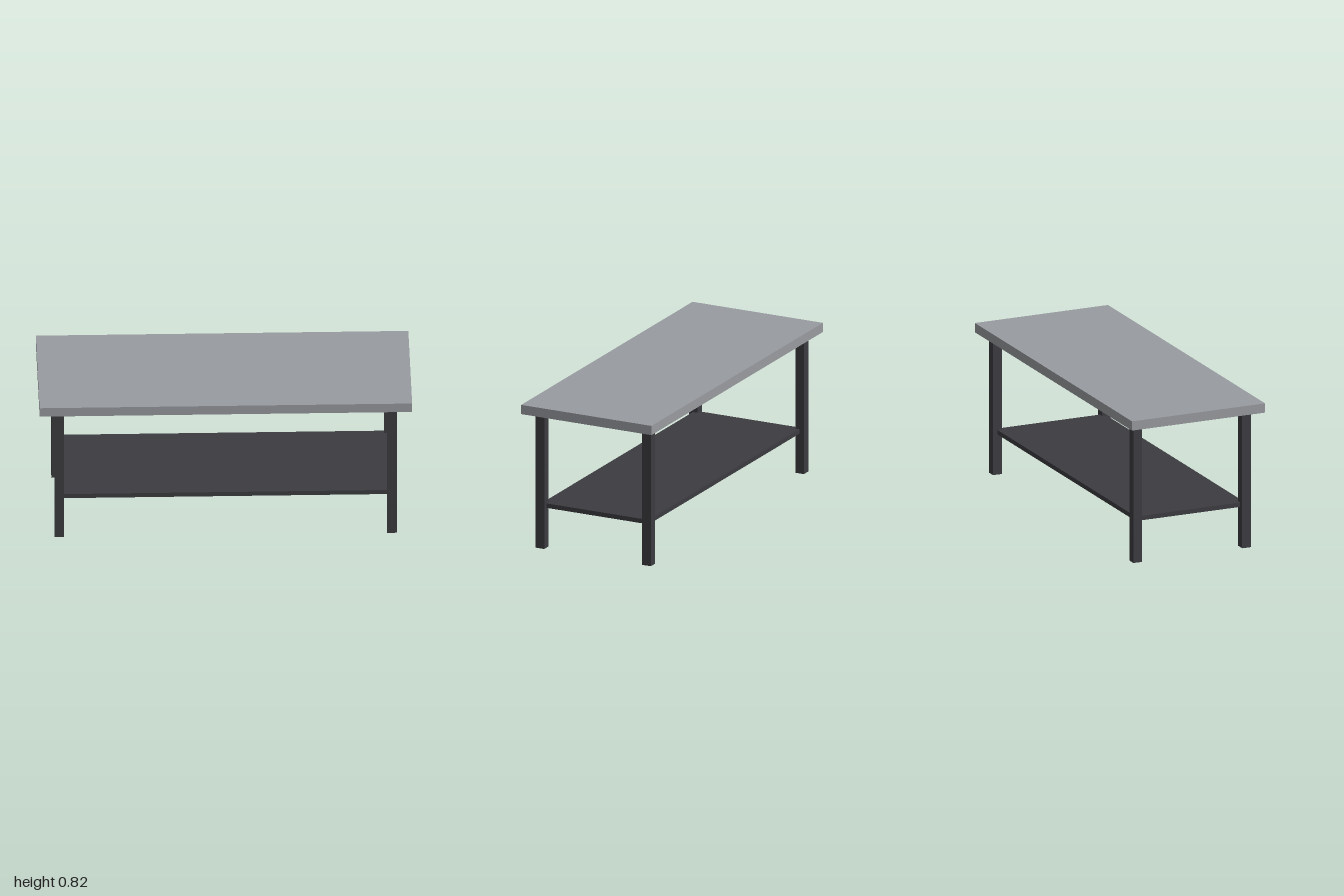
import * as THREE from 'three';

export function createModel() {
  const table = new THREE.Group();
  table.name = 'workTable';

  const greyTop = new THREE.MeshStandardMaterial({ name: 'greyTop', color: 0x989ba0 });
  const darkFrame = new THREE.MeshStandardMaterial({ name: 'darkFrame', color: 0x3c3b40 });

  // Box placed by the height of its underside
  function addBox(name, material, [w, h, d], [x, bottom, z]) {
    const mesh = new THREE.Mesh(new THREE.BoxGeometry(w, h, d), material);
    mesh.name = name;
    mesh.position.set(x, bottom + h / 2, z);
    table.add(mesh);
  }

  const legX = 0.893, legZ = 0.322, legSize = 0.052, legHeight = 0.771;

  // Slab top
  addBox('tableTop', greyTop, [2, 0.052, 0.788], [0, legHeight, 0]);

  // Lower shelf, let into the middle of each leg
  addBox('lowerShelf', darkFrame, [legX * 2, 0.025, legZ * 2], [0, 0.225, 0]);

  // Four square legs
  for (const [sideName, sx] of [['Left', 1], ['Right', -1]]) {
    for (const [endName, sz] of [['front', 1], ['back', -1]]) {
      addBox(`${endName}${sideName}Leg`, darkFrame, [legSize, legHeight, legSize], [sx * legX, 0, sz * legZ]);
    }
  }

  return table;
}
